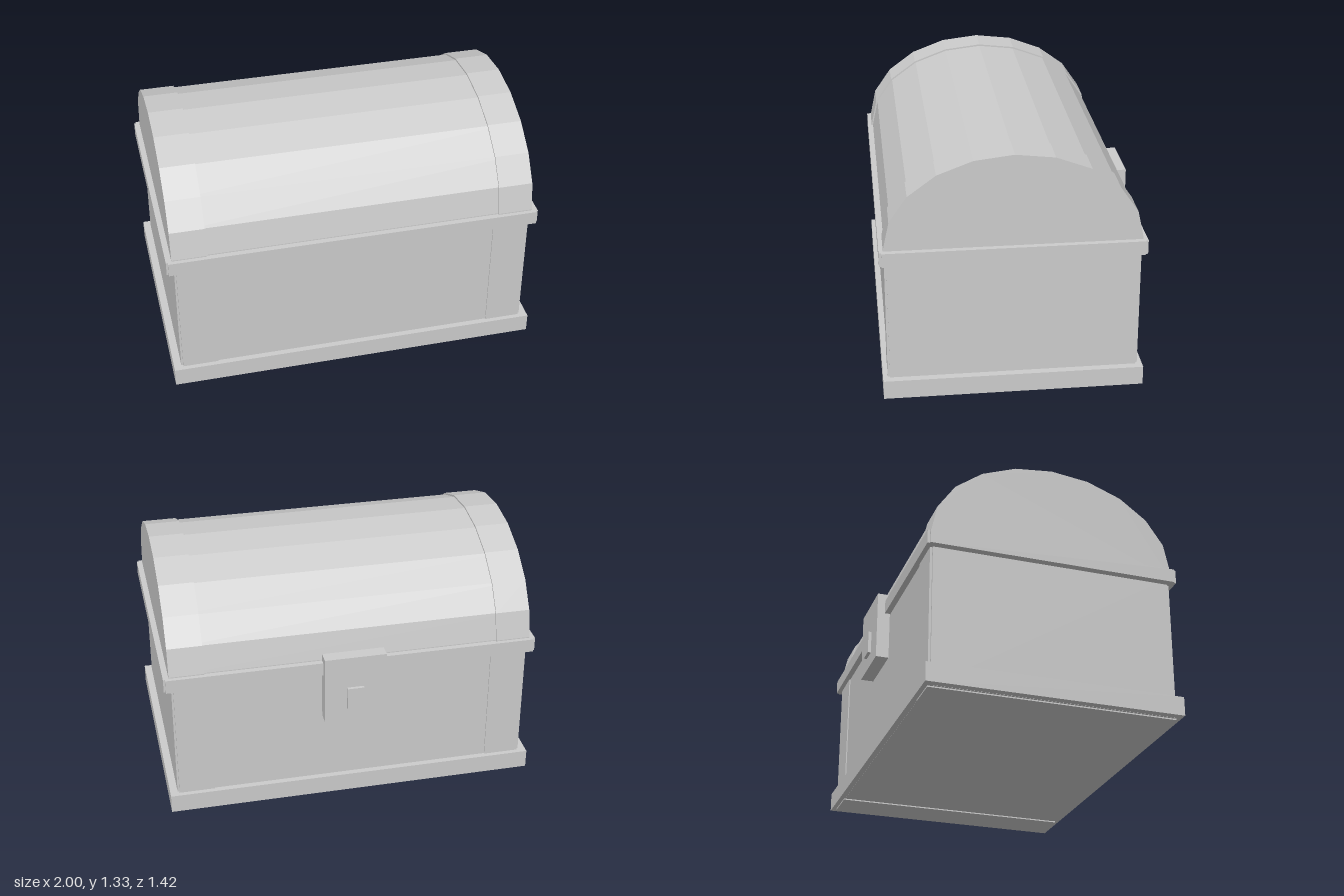
import * as THREE from 'three';

const grey = new THREE.MeshStandardMaterial({ color: 0xcccccc });
grey.name = 'plain grey';
const CZ = 0.032; // centre of the chest body in z

export function createModel() {
  const chest = new THREE.Group();
  chest.name = 'chest';

  const add = (name, geometry) => {
    const mesh = new THREE.Mesh(geometry, grey);
    mesh.name = name;
    chest.add(mesh);
    return mesh;
  };
  // Box given by its limits on each axis
  const box = (name, x0, x1, y0, y1, z0, z1) =>
    add(name, new THREE.BoxGeometry(x1 - x0, y1 - y0, z1 - z0))
      .position.set((x0 + x1) / 2, (y0 + y1) / 2, (z0 + z1) / 2);
  // Box centred on the chest
  const slab = (name, hx, y0, y1, hz) => box(name, -hx, hx, y0, y1, CZ - hz, CZ + hz);

  // Ten-sided half-ellipse arch, extruded along x
  const arch = (name, x0, x1, rz, ry) => {
    const shape = new THREE.Shape();
    shape.moveTo(rz, 0.8);
    for (let i = 0; i <= 10; i++) {
      const a = (i * Math.PI) / 10;
      shape.lineTo(rz * Math.cos(a), 0.845 + ry * Math.sin(a));
    }
    shape.lineTo(-rz, 0.8);
    const g = new THREE.ExtrudeGeometry(shape, { depth: x1 - x0, bevelEnabled: false });
    g.rotateY(-Math.PI / 2).translate(x1, 0, CZ);
    add(name, g);
  };

  // Body, with end panels standing slightly proud
  slab('body', 0.95, 0.007, 0.8, 0.649);
  slab('endPanels', 0.96, 0.007, 0.8, 0.643);

  // Base moulding and notched rim
  slab('baseTrim', 1, 0.008, 0.11, 0.68);
  slab('rimSides', 1, 0.765, 0.84, 0.667);
  slab('rimFrontBack', 0.99, 0.765, 0.84, 0.68);

  // Domed lid
  arch('lid', -0.96, 0.96, 0.65, 0.475);

  // Straps at both ends of the body and lid
  for (const s of [-1, 1]) {
    const span = (a, b) => (s > 0 ? [a, b] : [-b, -a]);
    box('bodyStrap', ...span(0.76, 0.95), 0, 0.8, CZ - 0.655, CZ + 0.655);
    arch('lidStrap', ...span(0.785, 0.97), 0.658, 0.484);
  }

  // Lock plate and boss on the back
  box('lockPlate', -0.165, 0.165, 0.5, 0.88, -0.69, -0.62);
  box('lockBoss', -0.045, 0.045, 0.575, 0.7, -0.707, -0.68);

  return chest;
}
